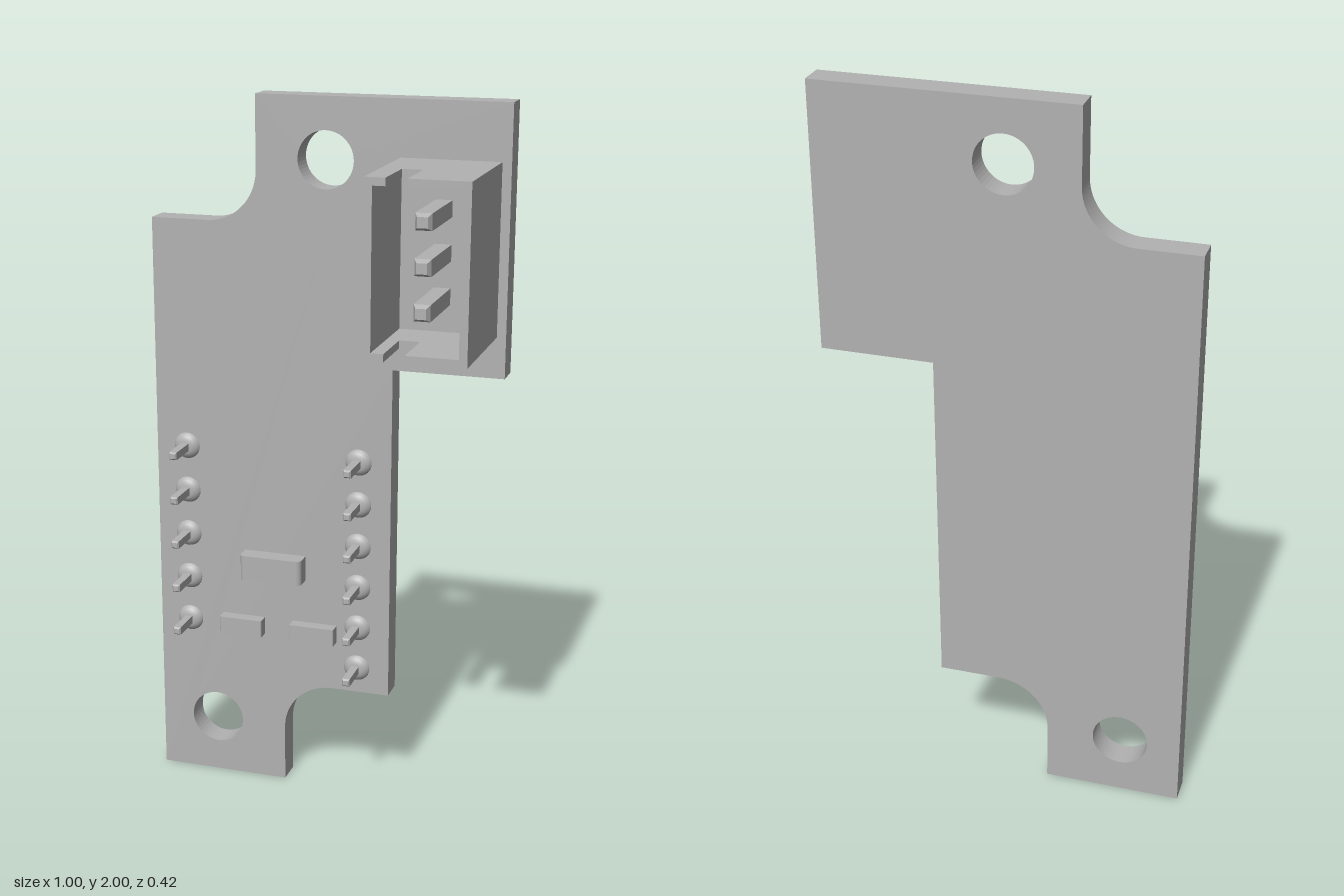
import * as THREE from 'three';

const grey = new THREE.MeshStandardMaterial({ color: 0xb2b2b2 });
grey.name = 'plain grey';

const BACK = -0.21, FACE = -0.136, FRONT = 0.21;

function add(parent, name, geometry, x = 0, y = 0, z = 0) {
  const mesh = new THREE.Mesh(geometry, grey);
  mesh.name = name;
  mesh.position.set(x, y, z);
  parent.add(mesh);
  return mesh;
}

// box given by its limits
function block(parent, name, x0, x1, y0, y1, z0, z1) {
  return add(parent, name, new THREE.BoxGeometry(x1 - x0, y1 - y0, z1 - z0),
    (x0 + x1) / 2, (y0 + y1) / 2, (z0 + z1) / 2);
}

// square pin along z with a chamfered tip
function squarePin(parent, name, x, y, z0, z1, half, tipHalf, tipLength) {
  const pin = new THREE.Group();
  pin.name = name;
  block(pin, 'shaft', x - half, x + half, y - half, y + half, z0, z1 - tipLength);
  const tip = new THREE.CylinderGeometry(tipHalf * Math.SQRT2, half * Math.SQRT2, tipLength, 4).toNonIndexed();
  tip.rotateY(Math.PI / 4).rotateX(Math.PI / 2);
  tip.computeVertexNormals();
  add(pin, 'tip', tip, x, y, z1 - tipLength / 2);
  parent.add(pin);
}

// board with two concave rounded cut-outs and two mounting holes
function boardGeometry() {
  const s = new THREE.Shape();
  s.moveTo(-0.5, 0);
  s.lineTo(-0.12, 0);
  s.lineTo(-0.12, 0.167);
  s.absarc(0.024, 0.167, 0.144, Math.PI, Math.PI / 2, true);
  s.lineTo(0.192, 0.311);
  s.lineTo(0.192, 1.275);
  s.lineTo(0.5, 1.275);
  s.lineTo(0.5, 2);
  s.lineTo(-0.196, 2);
  s.lineTo(-0.196, 1.798);
  s.absarc(-0.338, 1.798, 0.142, 0, -Math.PI / 2, true);
  s.lineTo(-0.5, 1.656);
  s.closePath();
  for (const [x, y] of [[0, 1.833], [-0.33, 0.17]]) {
    const hole = new THREE.Path();
    hole.absarc(x, y, 0.078, 0, Math.PI * 2, true);
    s.holes.push(hole);
  }
  return new THREE.ExtrudeGeometry(s, { depth: FACE - BACK, bevelEnabled: false, curveSegments: 24 });
}

// surface component: section in x and height, rounded on top, run along y
function component(parent, name, x0, x1, y0, y1, height, r) {
  const s = new THREE.Shape();
  s.moveTo(x0, 0);
  s.lineTo(x0, height - r);
  s.absarc(x0 + r, height - r, r, Math.PI, Math.PI / 2, true);
  s.absarc(x1 - r, height - r, r, Math.PI / 2, 0, true);
  s.lineTo(x1, 0);
  s.closePath();
  const g = new THREE.ExtrudeGeometry(s, { depth: y1 - y0, bevelEnabled: false, curveSegments: 6 });
  g.rotateX(Math.PI / 2);
  add(parent, name, g, 0, y1, FACE);
}

// open socket with slotted top and bottom walls and three contacts
function connector() {
  const group = new THREE.Group();
  group.name = 'connector';
  const x0 = 0.205, x1 = 0.475, y0 = 1.387, y1 = 1.848;
  const ix0 = 0.226, ix1 = 0.453, iy0 = 1.408, iy1 = 1.827;
  const floor = -0.07, slot0 = 0.26, slot1 = 0.315, slotZ = 0.057;
  block(group, 'base', x0, x1, y0, y1, FACE, floor);
  block(group, 'rightWall', x0, ix0, y0, y1, floor, FRONT);
  block(group, 'leftWall', ix1, x1, y0, y1, floor, FRONT);
  const wall = new THREE.Shape([
    [ix0, floor], [ix1, floor], [ix1, FRONT], [slot1, FRONT],
    [slot1, slotZ], [slot0, slotZ], [slot0, FRONT], [ix0, FRONT],
  ].map(([x, z]) => new THREE.Vector2(x, z)));
  for (const [name, top, low] of [['topWall', y1, iy1], ['bottomWall', iy0, y0]]) {
    const g = new THREE.ExtrudeGeometry(wall, { depth: top - low, bevelEnabled: false });
    g.rotateX(Math.PI / 2);
    add(group, name, g, 0, top, 0);
  }
  for (let i = 0; i < 3; i++)
    squarePin(group, 'contact', 0.34, 1.503 + i * 0.115, floor, 0.155, 0.022, 0.014, 0.015);
  return group;
}

// column of soldered header pins
function header(name, x, top, count, pitch) {
  const group = new THREE.Group();
  group.name = name;
  const profile = [[0.038, 0], [0.036, 0.005], [0.029, 0.012], [0.018, 0.018], [0, 0.018]]
    .map(([r, h]) => new THREE.Vector2(r, h));
  const solder = new THREE.LatheGeometry(profile, 24).rotateX(Math.PI / 2);
  for (let i = 0; i < count; i++) {
    const y = top - i * pitch;
    add(group, 'solder', solder, x, y, FACE);
    squarePin(group, 'pin', x, y, FACE, -0.022, 0.011, 0.007, 0.005);
  }
  return group;
}

export function createModel() {
  const model = new THREE.Group();
  model.name = 'circuitBoard';
  add(model, 'board', boardGeometry(), 0, 0, BACK);
  model.add(connector());
  model.add(header('rightHeader', -0.41, 1.007, 5, 0.132));
  model.add(header('leftHeader', 0.098, 1.004, 6, 0.1235));
  component(model, 'chip', -0.238, -0.056, 0.637, 0.71, 0.053, 0.016);
  component(model, 'rightResistor', -0.307, -0.18, 0.457, 0.508, 0.036, 0.005);
  component(model, 'leftResistor', -0.095, 0.037, 0.457, 0.508, 0.036, 0.005);
  // lathe runs from rim to centre, so show it from both sides
  model.traverse((o) => { if (o.isMesh) o.material = grey; });
  grey.side = THREE.DoubleSide;
  return model;
}
